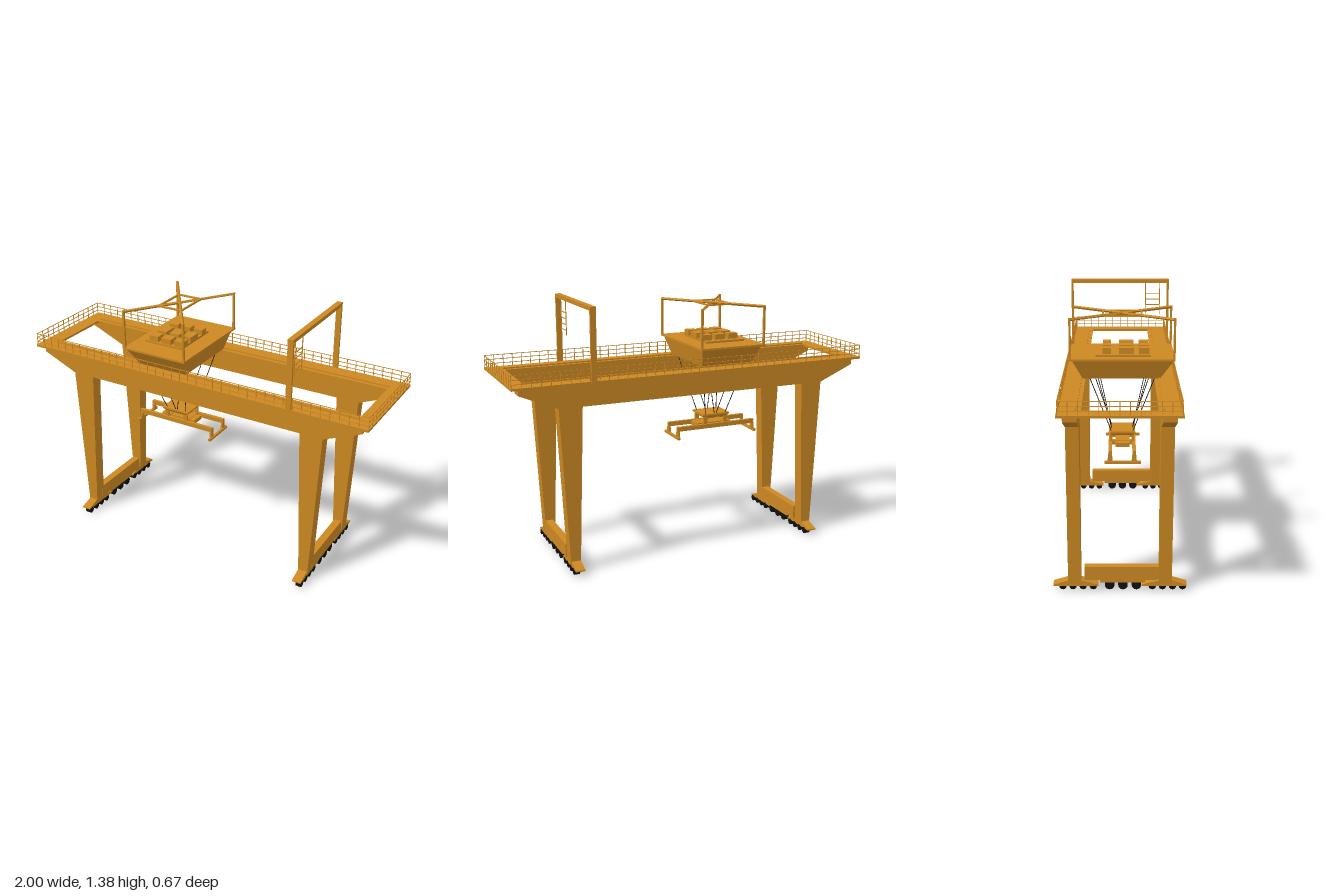
import * as THREE from 'three';
import { mergeGeometries } from 'three/addons/utils/BufferGeometryUtils.js';

const orange = new THREE.MeshStandardMaterial({ color: 0xcc8822, flatShading: true });
const black = new THREE.MeshStandardMaterial({ color: 0x111111 });

// box from min/max corners
function box(x0, x1, y0, y1, z0, z1) {
  return new THREE.BoxGeometry(x1 - x0, y1 - y0, z1 - z0)
    .translate((x0 + x1) / 2, (y0 + y1) / 2, (z0 + z1) / 2);
}

// box with its lower face replaced by another rectangle: [x0, x1, z0, z1]
function taperedBox(top, bottom, y0, y1) {
  const g = box(0, 1, 0, 1, 0, 1);
  const p = g.attributes.position;
  for (let i = 0; i < p.count; i++) {
    const up = p.getY(i) > 0.5, r = up ? top : bottom;
    p.setXYZ(i, p.getX(i) > 0.5 ? r[1] : r[0], up ? y1 : y0, p.getZ(i) > 0.5 ? r[3] : r[2]);
  }
  g.computeVertexNormals();
  return g;
}

// straight bar between two points, square or round
function bar(a, b, w, sides = 4) {
  const A = new THREE.Vector3(...a), B = new THREE.Vector3(...b), d = B.clone().sub(A);
  const g = sides === 4
    ? new THREE.BoxGeometry(w, d.length(), w)
    : new THREE.CylinderGeometry(w / 2, w / 2, d.length(), sides);
  g.applyQuaternion(new THREE.Quaternion().setFromUnitVectors(new THREE.Vector3(0, 1, 0), d.normalize()));
  return g.translate(...A.add(B).multiplyScalar(0.5).toArray());
}

function extrude(points, depth, holes = []) {
  const shape = new THREE.Shape(points.map(p => new THREE.Vector2(...p)));
  holes.forEach(h => shape.holes.push(new THREE.Path(h.map(p => new THREE.Vector2(...p)))));
  return new THREE.ExtrudeGeometry(shape, { depth, bevelEnabled: false }).translate(0, 0, -depth / 2);
}

const rect = (x, y) => [[-x, -y], [x, -y], [x, y], [-x, y]];

export function createModel() {
  const model = new THREE.Group();
  const add = (name, geometries, material = orange) => {
    const mesh = new THREE.Mesh(mergeGeometries(geometries), material);
    mesh.name = name;
    model.add(mesh);
  };

  // girder with its two tapering legs, front and back
  const half = [[0.96, 1], [0.96, 0.965], [0.76, 0.88], [0.72, 0.04], [0.668, 0.04], [0.635, 0.88]];
  const portal = [...half.map(([x, y]) => [-x, y]), ...half.slice().reverse()];
  for (const s of [1, -1]) {
    add(s > 0 ? 'frontPortal' : 'backPortal', [extrude(portal, 0.065).translate(0, 0, s * 0.2275)]);
  }

  // walkway deck with long opening
  add('deck', [extrude(rect(1, 0.287), 0.012, [rect(0.915, 0.175)]).rotateX(-Math.PI / 2).translate(0, 1.003, 0)]);
  add('trolleyRails', [1, -1].map(s => box(-0.92, 0.92, 1.008, 1.016, s * 0.2 - 0.004, s * 0.2 + 0.004)));

  // railing round the outer edge
  const railing = [], X = 0.997, Z = 0.28;
  for (const s of [1, -1]) {
    for (const y of [1.027, 1.05, 1.073]) {
      railing.push(bar([-X, y, s * Z], [X, y, s * Z], 0.003));
      railing.push(bar([s * X, y, -Z], [s * X, y, Z], 0.003));
    }
    for (let i = 0; i <= 40; i++) {
      const x = -X + (2 * X * i) / 40;
      railing.push(bar([x, 1.005, s * Z], [x, 1.074, s * Z], 0.003));
    }
    for (let i = 1; i < 12; i++) {
      const z = -Z + (2 * Z * i) / 12;
      railing.push(bar([s * X, 1.005, z], [s * X, 1.074, z], 0.003));
    }
  }
  add('railing', railing);

  // portal frame over the deck with hanging ladder
  add('overheadFrame', [
    box(0.565, 0.595, 0.995, 1.38, 0.278, 0.29),
    box(0.565, 0.595, 0.995, 1.38, -0.29, -0.278),
    box(0.565, 0.595, 1.36, 1.38, -0.285, 0.285),
  ]);
  add('ladder', [
    ...[0.236, 0.152].map(z => bar([0.58, 1.17, z], [0.58, 1.365, z], 0.004)),
    ...[1.197, 1.228, 1.26, 1.292].map(y => bar([0.58, y, 0.152], [0.58, y, 0.236], 0.004)),
  ]);

  // trolley hull and machinery on top
  add('trolley', [
    taperedBox([-0.387, -0.035, -0.243, 0.272], [-0.352, -0.058, -0.19, 0.204], 1.01, 1.112),
    box(-0.4, -0.022, 1.11, 1.12, -0.26, 0.278),
  ]);
  const machinery = [box(-0.345, -0.115, 1.12, 1.131, -0.124, 0.156)];
  for (const [x0, x1] of [[-0.32, -0.265], [-0.245, -0.185], [-0.165, -0.11]]) {
    for (const [z0, z1] of [[0.097, 0.15], [-0.006, 0.07], [-0.09, -0.047]]) {
      machinery.push(box(x0, x1, 1.13, 1.161, z0, z1));
    }
  }
  add('machinery', machinery);

  // canopy: corner posts, crossing diagonals and an inner ring
  const cx = -0.211, cz = 0.011, hx = 0.183, hz = 0.262;
  const corner = (sx, sz, k, y) => [cx + sx * hx * k, y, cz + sz * hz * k];
  const signs = [[1, 1], [1, -1], [-1, -1], [-1, 1]];
  const canopy = [];
  signs.forEach(([a, b], i) => {
    const [c, d] = signs[(i + 1) % 4];
    canopy.push(bar(corner(a, b, 1, 1.115), corner(a, b, 1, 1.328), 0.011));
    canopy.push(bar(corner(a, b, 1, 1.322), corner(0, 0, 0, 1.322), 0.011));
    canopy.push(bar(corner(a, b, 0.38, 1.322), corner(c, d, 0.38, 1.322), 0.009));
  });
  add('canopyFrame', canopy);

  // hoisting cables
  const cables = [];
  for (const [a, b] of signs) {
    cables.push(bar([cx + a * 0.13, 1.015, cz + b * 0.167], [cx + a * 0.06, 0.7, cz + b * 0.055], 0.004, 6));
    cables.push(bar([cx + a * 0.085, 1.015, cz + b * 0.128], [cx + a * 0.004, 0.7, cz + b * 0.055], 0.004, 6));
  }
  add('cables', cables, black);

  // spreader: head block, centre body, twin beams and end bars
  const spreader = [
    box(-0.295, -0.13, 0.697, 0.707, -0.054, 0.08),
    taperedBox([-0.29, -0.135, -0.054, 0.08], [-0.28, -0.145, -0.045, 0.07], 0.684, 0.698),
    box(-0.32, -0.105, 0.63, 0.652, -0.024, 0.05),
  ];
  for (const [a, b] of signs) {
    const x = cx + a * 0.061, z = cz + b * 0.057;
    spreader.push(box(x - 0.011, x + 0.011, 0.65, 0.687, z - 0.006, z + 0.006));
  }
  for (const s of [1, -1]) {
    const z = cz + s * 0.062, x = cx + s * 0.236;
    spreader.push(box(-0.448, 0.026, 0.628, 0.652, z - 0.009, z + 0.009));
    spreader.push(box(x - 0.007, x + 0.007, 0.585, 0.598, -0.08, 0.108));
    for (const e of [1, -1]) {
      const xe = cx + e * 0.231;
      spreader.push(taperedBox([xe - 0.006, xe + 0.006, z - 0.009, z + 0.009],
        [xe - 0.006, xe + 0.006, z - 0.014, z + 0.014], 0.59, 0.64));
    }
    // cross members between the beams
    const xm = cx + s * 0.061;
    spreader.push(box(xm - 0.012, xm + 0.012, 0.633, 0.655, cz - 0.06, cz + 0.06));
  }
  add('spreader', spreader);

  // sill beams, bogies and wheels at each end
  const bogie = [[0.108, 0.03], [0.335, 0.03], [0.335, 0.037], [0.26, 0.06], [0.195, 0.06], [0.108, 0.037]];
  for (const s of [1, -1]) {
    const side = s > 0 ? 'left' : 'right', x = s * 0.693;
    add(side + 'SillBeam', [
      box(x + 0.009 - 0.021, x + 0.009 + 0.021, 0.056, 0.127, -0.178, 0.207),
      box(x + 0.009 - 0.017, x + 0.009 + 0.017, 0.04, 0.057, -0.1, 0.125),
    ]);
    add(side + 'Bogies', [1, -1].map(m => {
      const g = extrude(bogie, 0.05).rotateY(-Math.PI / 2);
      return (m < 0 ? g.rotateY(Math.PI) : g).translate(x, 0, 0);
    }));
    const wheel = (z, r) => new THREE.CylinderGeometry(r, r, 0.03, 20)
      .rotateZ(Math.PI / 2).translate(x + 0.01, r, z);
    add(side + 'Wheels', [
      ...[0.316, 0.265, 0.214, 0.163, -0.135, -0.186, -0.237, -0.288].map(z => wheel(z, 0.018)),
      ...[0.083, 0.015, -0.052].map(z => wheel(z, 0.024)),
    ], black);
  }
  return model;
}
